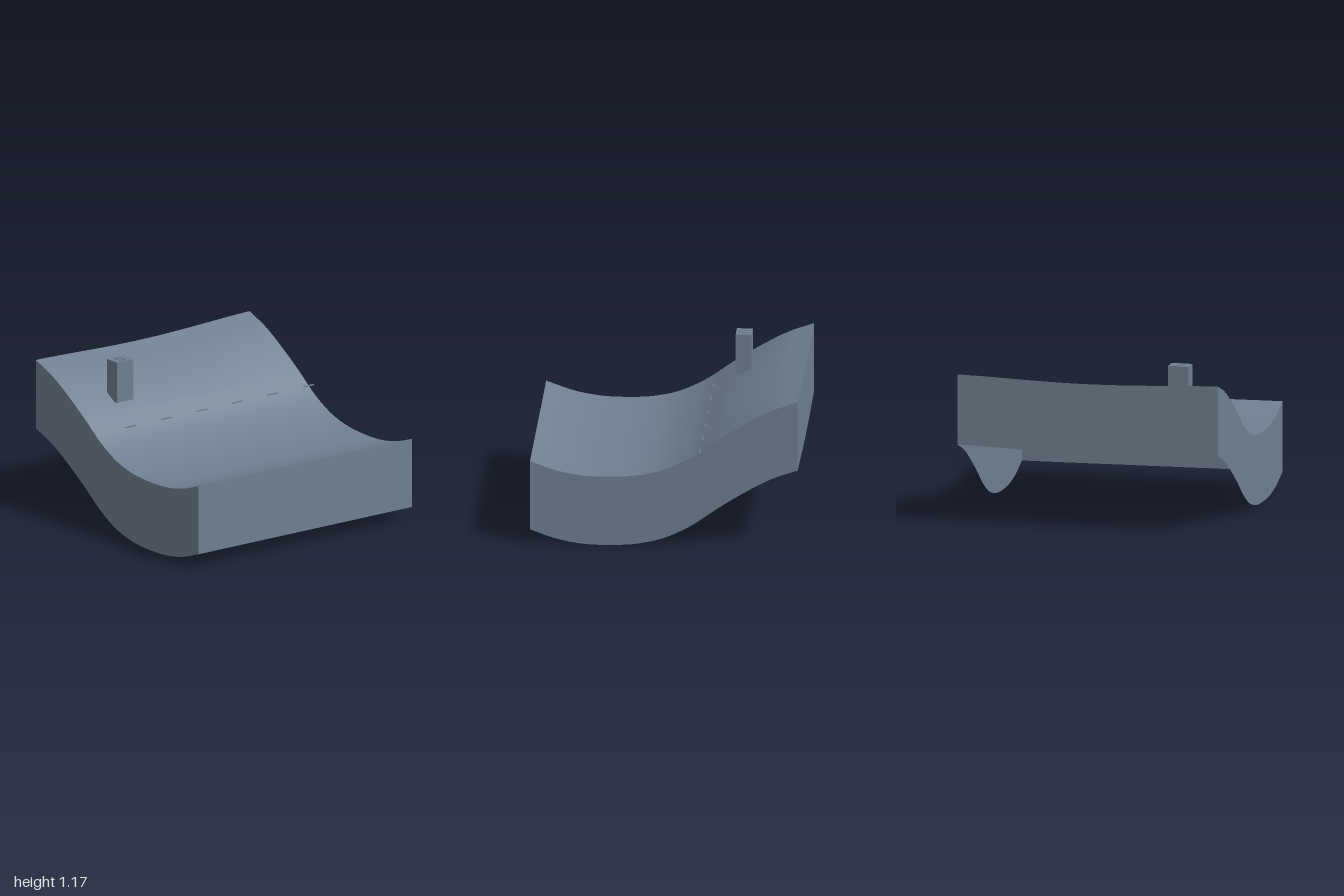
import * as THREE from 'three';

const X0 = -0.977, X1 = 0.977, Z0 = -0.957, Z1 = 1, DEPTH = 0.52;
// Height profile across the slope, at evenly spaced x
const tops = [1.11, 1.038, 0.932, 0.808, 0.672, 0.578, 0.533, 0.522, 0.53, 0.567, 0.635];
const xs = tops.map((_, i) => X0 + (i / (tops.length - 1)) * (X1 - X0));
const spline = new THREE.CubicInterpolant(xs, tops, 1);

function height(x, z) {
  const y = spline.evaluate(THREE.MathUtils.clamp(x, X0, X1))[0];
  const v = (Z1 - z) / (Z1 - Z0);
  const sag = 0.027 * Math.sin(Math.PI * THREE.MathUtils.clamp(v, 0, 1)) ** 1.5;
  const right = THREE.MathUtils.smoothstep(x, -0.2, 0.977);
  const left = THREE.MathUtils.smoothstep(-x, 0.3, 0.977);
  return y - sag * left - 0.011 * v * right;
}

export function createModel() {
  const group = new THREE.Group();
  const slate = new THREE.MeshStandardMaterial({ color: 0x708090, side: THREE.DoubleSide });
  slate.name = 'slate';
  const add = (name, geometry, parent = group) => {
    const mesh = new THREE.Mesh(geometry, slate);
    mesh.name = name;
    parent.add(mesh);
    return mesh;
  };

  // Smooth rolling ground sheet
  const ground = new THREE.PlaneGeometry(X1 - X0, Z1 - Z0, 64, 40);
  ground.rotateX(-Math.PI / 2).translate(0, 0, (Z0 + Z1) / 2);
  const p = ground.attributes.position;
  for (let i = 0; i < p.count; i++) p.setY(i, height(p.getX(i), p.getZ(i)));
  ground.computeVertexNormals();
  add('ground', ground);

  // Skirt walls following the ground edge, open underneath
  const wall = (name, ax, az, bx, bz) => {
    const n = 64, pos = [], index = [];
    for (let i = 0; i <= n; i++) {
      const x = THREE.MathUtils.lerp(ax, bx, i / n), z = THREE.MathUtils.lerp(az, bz, i / n);
      const y = height(x, z);
      pos.push(x, y - DEPTH, z, x, y, z);
      if (i < n) {
        const a = i * 2;
        index.push(a, a + 2, a + 1, a + 1, a + 2, a + 3);
      }
    }
    const g = new THREE.BufferGeometry();
    g.setAttribute('position', new THREE.Float32BufferAttribute(pos, 3));
    g.setIndex(index);
    g.computeVertexNormals();
    add(name, g);
  };
  wall('frontWall', X0, Z1, X1, Z1);
  wall('leftWall', X1, Z1, X1, Z0);
  wall('backWall', X1, Z0, X0, Z0);
  wall('rightWall', X0, Z0, X0, Z1);

  // Tower block standing on the slope
  const tower = new THREE.Group();
  tower.name = 'tower';
  tower.position.set(-0.492, 0.855, 0.595);
  group.add(tower);
  const W = 0.116, H = 0.307, D = 0.154;
  add('towerBody', new THREE.BoxGeometry(W, H, D).translate(0, H / 2, 0), tower);

  // Low roof pads
  for (let i = -1; i <= 1; i++)
    for (const z of [-0.018, 0.018])
      add('roofPad', new THREE.BoxGeometry(0.02, 0.005, 0.022).translate(i * 0.03, H + 0.0025, z), tower);

  // Dashed line running along the slope
  for (let i = 0; i < 6; i++) {
    const z = 0.674 - i * 0.3256;
    const dash = add('dash', new THREE.BoxGeometry(0.01, 0.008, 0.092));
    dash.position.set(-0.265, height(-0.265, z) + 0.001, z);
  }
  return group;
}
